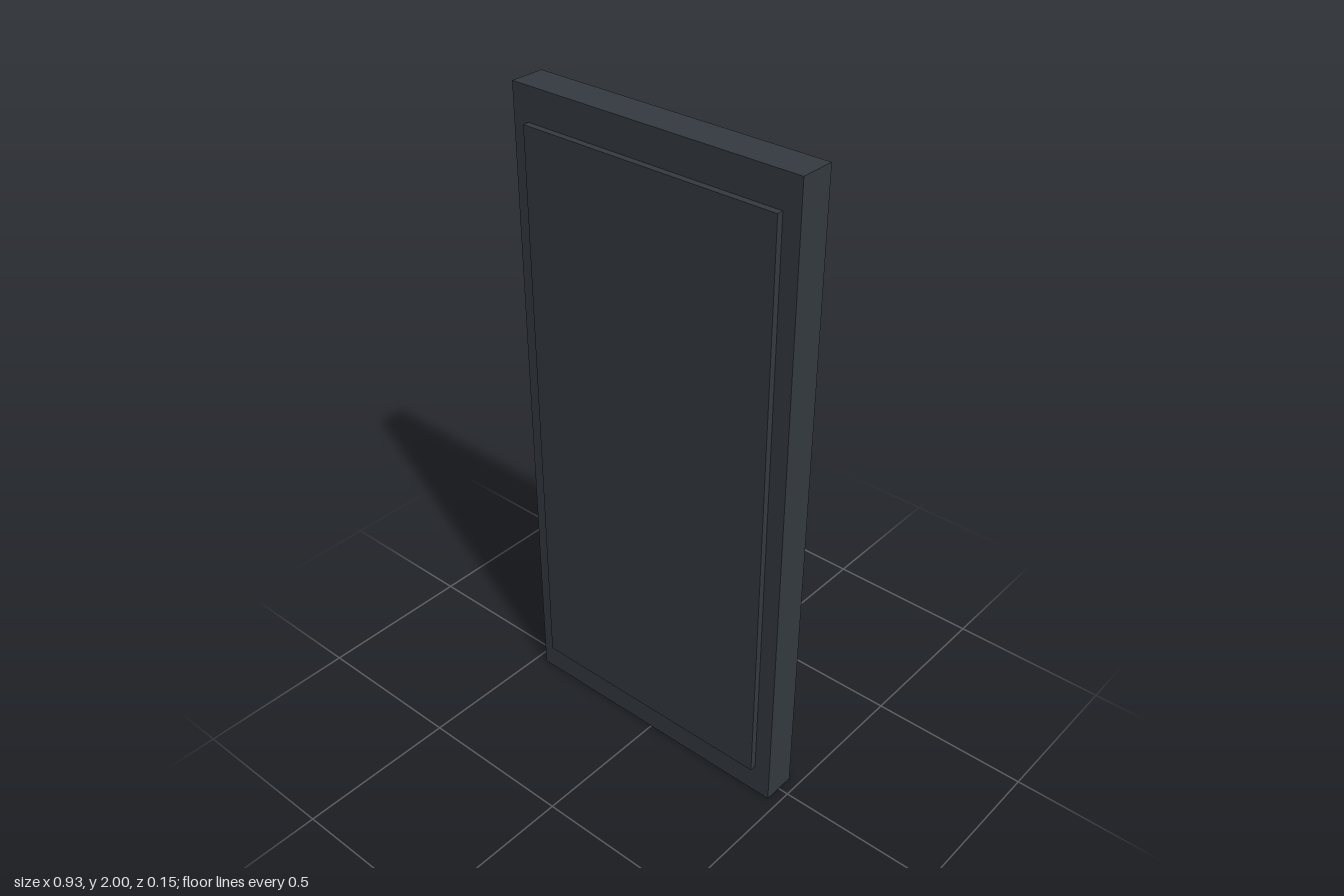
import * as THREE from 'three';

export function createModel() {
  const model = new THREE.Group();
  const slate = new THREE.MeshStandardMaterial({ name: 'dark slate', color: 0x343a40 });
  const black = new THREE.MeshStandardMaterial({ name: 'lens black', color: 0x202020 });

  const add = (name, geometry, material, x, y, z) => {
    const mesh = new THREE.Mesh(geometry, material);
    mesh.name = name;
    mesh.position.set(x, y, z);
    model.add(mesh);
    return mesh;
  };

  // Slab body with a raised screen panel on the front
  add('body', new THREE.BoxGeometry(0.933, 2, 0.107), slate, 0, 1, 0);
  add('screen', new THREE.BoxGeometry(0.827, 1.8, 0.04), slate, 0, 1, 0.0533);

  // Round camera disc on the upper back, on the model's left
  const camera = add('cameraLens', new THREE.CylinderGeometry(0.107, 0.107, 0.04, 32), black, 0.267, 1.8, -0.0545);
  camera.rotation.x = Math.PI / 2;

  return model;
}
